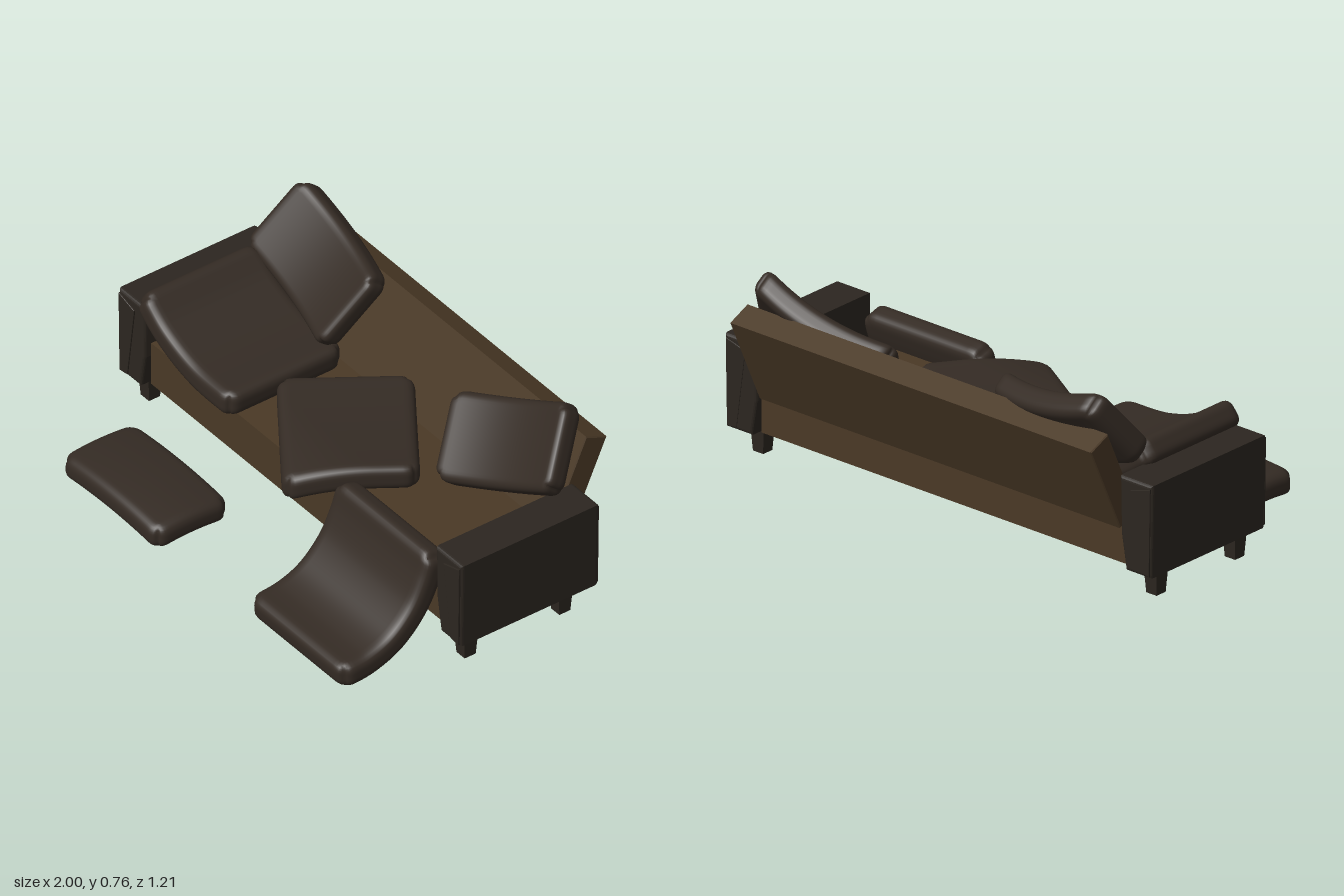
import * as THREE from 'three';
import { mergeVertices } from 'three/addons/utils/BufferGeometryUtils.js';

const wood = new THREE.MeshStandardMaterial({ color: 0x4a3926 });
const leather = new THREE.MeshStandardMaterial({ color: 0x342b24 });
const armLeather = new THREE.MeshStandardMaterial({ color: 0x2c2620 });

function add(parent, name, geometry, material) {
  const mesh = new THREE.Mesh(geometry, material);
  mesh.name = name;
  parent.add(mesh);
  return mesh;
}

function shapeOf(points) {
  return new THREE.Shape(points.map(([x, y]) => new THREE.Vector2(x, y)));
}

// Side profile given as (z, y) points, swept across the width
function sweepX(points, width) {
  const bevel = 0.004;
  const g = new THREE.ExtrudeGeometry(shapeOf(points), {
    depth: width - 2 * bevel, bevelSize: bevel, bevelOffset: -bevel, bevelThickness: bevel, bevelSegments: 1,
  });
  return g.rotateY(-Math.PI / 2).translate(width / 2 - bevel, 0, 0);
}

// Soft rounded pad: width on x, height on y, thickness on z, then bent by a rule
function padGeometry(w, h, t, bend) {
  let g = new THREE.BoxGeometry(w, h, t, 40, 32, 10);
  g.deleteAttribute('uv');
  g.deleteAttribute('normal');
  g = mergeVertices(g, 1e-5);
  const pos = g.attributes.position;
  const p = new THREE.Vector3(), core = new THREE.Vector3();
  const r = 0.034, corner = 0.055;
  const inner = new THREE.Vector3(w / 2 - r, h / 2 - r, t / 2 - r);
  for (let i = 0; i < pos.count; i++) {
    p.fromBufferAttribute(pos, i);
    core.copy(p).clamp(inner.clone().negate(), inner);
    p.sub(core).setLength(r).add(core);
    // larger rounding of the corners in plan
    const cx = Math.max(0, Math.abs(p.x) - (w / 2 - corner));
    const cy = Math.max(0, Math.abs(p.y) - (h / 2 - corner));
    if (cx > 0 && cy > 0) {
      const k = Math.max(cx, cy) / Math.hypot(cx, cy);
      p.x -= Math.sign(p.x) * cx * (1 - k);
      p.y -= Math.sign(p.y) * cy * (1 - k);
    }
    bend(p);
    pos.setXYZ(i, p.x, p.y, p.z);
  }
  g.computeVertexNormals();
  return g;
}

// Pad whose length follows a path of (x, y) points; its height becomes depth in z
function pathPad(points, depth, t) {
  const curve = new THREE.CatmullRomCurve3(points.map(([x, y]) => new THREE.Vector3(x, y, 0)));
  const length = curve.getLength();
  return padGeometry(length, depth, t, (p) => {
    const s = THREE.MathUtils.clamp(p.x / length + 0.5, 0, 1);
    const c = curve.getPointAt(s), d = curve.getTangentAt(s);
    p.set(c.x - d.y * p.z, c.y + d.x * p.z, -p.y);
  });
}

// Orient a pad by its width direction u and height direction v
function place(mesh, centre, u, v) {
  const X = new THREE.Vector3(...u).normalize();
  const Z = X.clone().cross(new THREE.Vector3(...v)).normalize();
  const Y = Z.clone().cross(X);
  mesh.quaternion.setFromRotationMatrix(new THREE.Matrix4().makeBasis(X, Y, Z));
  mesh.position.set(...centre);
}

function makeArm() {
  const arm = new THREE.Group();
  // Padded arm, narrower towards the floor
  const b = 0.014;
  const body = shapeOf([[0.848, 0.472], [1, 0.472], [0.992, 0.115], [0.875, 0.115], [0.852, 0.25]]);
  const g = new THREE.ExtrudeGeometry(body, {
    depth: 0.605 - 2 * b, bevelSize: b, bevelOffset: -b, bevelThickness: b, bevelSegments: 4,
  });
  add(arm, 'armBody', g.translate(0, 0, -0.458 + b), armLeather);
  // Curved facing panel on both ends
  const face = new THREE.Shape();
  face.moveTo(0.99, 0.455);
  face.lineTo(0.905, 0.43);
  face.quadraticCurveTo(0.925, 0.28, 0.945, 0.13);
  face.lineTo(0.984, 0.125);
  for (const z of [0.146, -0.459]) {
    const panel = new THREE.ExtrudeGeometry(face, { depth: 0.005, bevelSize: 0.003, bevelThickness: 0.002, bevelSegments: 2 });
    add(arm, 'armFacing', panel.translate(0, 0, z), armLeather);
  }
  // Tapered square legs
  for (const z of [0.067, -0.347]) {
    const leg = new THREE.CylinderGeometry(0.045, 0.034, 0.115, 4).toNonIndexed();
    leg.rotateY(Math.PI / 4).computeVertexNormals();
    add(arm, 'leg', leg.translate(0.92, 0.067, z), armLeather);
  }
  return arm;
}

export function createModel() {
  const sofa = new THREE.Group();
  sofa.name = 'sofa';

  // Frame: seat box and leaning back board
  add(sofa, 'seatBase', sweepX([[-0.43, 0.125], [0.115, 0.125], [0.115, 0.305], [-0.38, 0.305], [-0.43, 0.28]], 1.71), wood);
  add(sofa, 'backBoard', sweepX([[-0.45, 0.265], [-0.36, 0.305], [-0.515, 0.647], [-0.606, 0.606]], 1.69), wood);

  // Arms
  for (const side of [1, -1]) {
    const arm = makeArm();
    arm.name = side > 0 ? 'leftArm' : 'rightArm';
    arm.scale.x = side;
    sofa.add(arm);
  }

  // Seat cushion riding up over the right arm
  const right = add(sofa, 'rightSeatCushion',
    pathPad([[-0.86, 0.527], [-0.73, 0.432], [-0.55, 0.37], [-0.322, 0.36]], 0.515, 0.1), leather);
  right.position.z = -0.083;

  // Seat cushion turned askew in the middle, drooping over the front edge
  const middle = add(sofa, 'middleSeatCushion', padGeometry(0.555, 0.485, 0.1, (p) => {
    const front = 0.57 * p.x - 0.82 * p.y;
    p.z += 0.2 * p.x * p.x - 0.7 * Math.max(0, front - 0.08) ** 2;
  }), leather);
  place(middle, [0.045, 0.36, -0.075], [0.82, 0, 0.57], [0.57, 0, -0.82]);

  // Seat cushion sliding off the front onto the floor; path is (z, y)
  const sliding = add(sofa, 'slidingSeatCushion',
    pathPad([[0.125, 0.425], [0.158, 0.32], [0.215, 0.21], [0.31, 0.115], [0.42, 0.069], [0.55, 0.056]], 0.56, 0.096), leather);
  sliding.rotation.y = -Math.PI / 2;
  sliding.position.x = 0.57;

  // Back cushions leaning in both corners
  const cupped = (p) => { p.z += 0.5 * p.x * p.x - 0.012; };
  const backRight = add(sofa, 'rightBackCushion', padGeometry(0.56, 0.33, 0.1, cupped), leather);
  place(backRight, [-0.567, 0.58, -0.415], [0.97, -0.17, 0.14], [0.28, 0.75, -0.6]);
  const backLeft = add(sofa, 'leftBackCushion', padGeometry(0.57, 0.33, 0.1, cupped), leather);
  place(backLeft, [0.61, 0.535, -0.37], [0.91, 0.36, -0.22], [-0.37, 0.72, -0.59]);

  // Back cushion fallen on the floor, arched upwards
  const fallen = add(sofa, 'fallenBackCushion', padGeometry(0.57, 0.328, 0.09, (p) => {
    p.z += 0.028 - 0.22 * p.x * p.x - 0.5 * p.y * p.y;
  }), leather);
  place(fallen, [-0.455, 0.061, 0.438], [1, 0, 0], [0, 0, -1]);

  return sofa;
}
